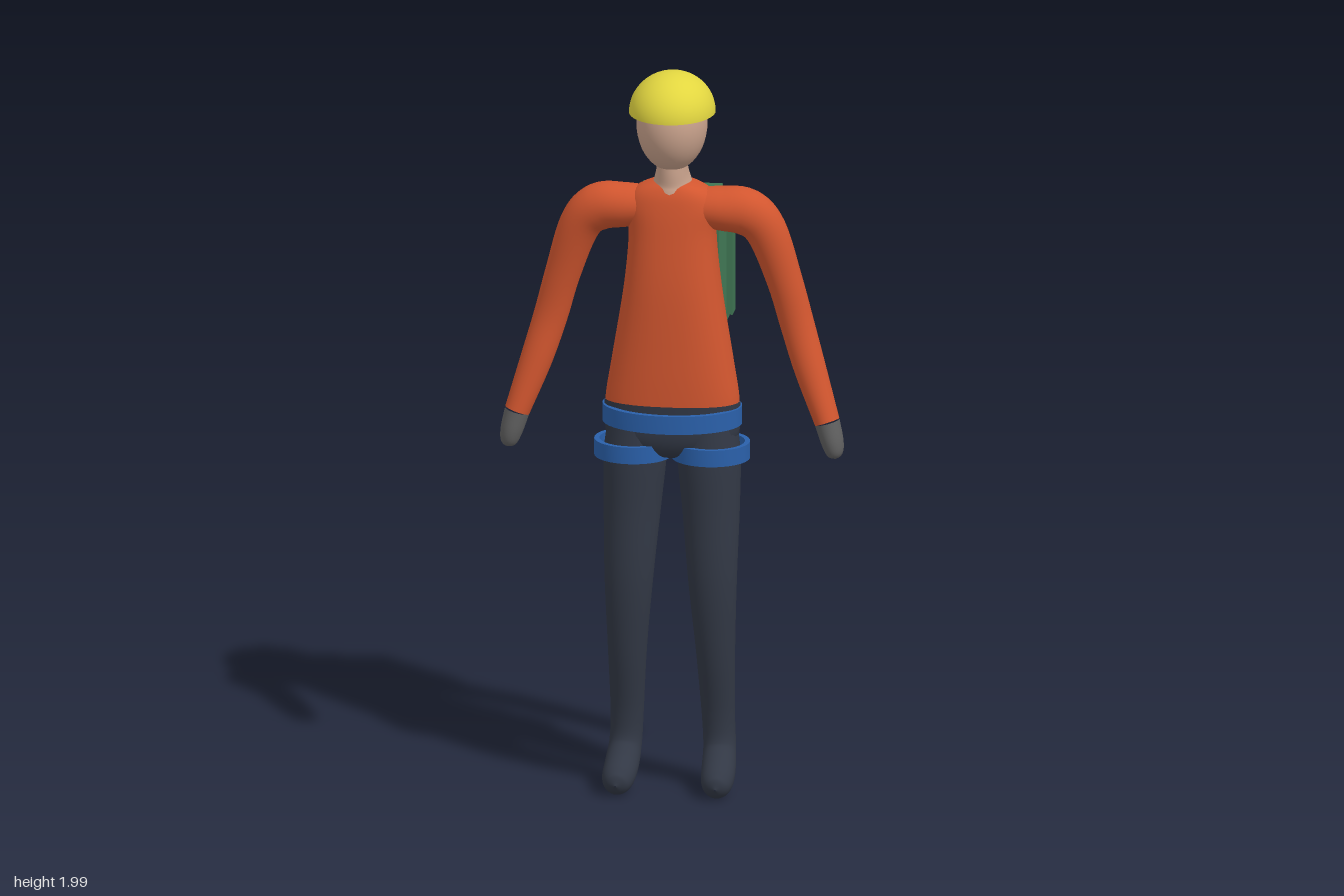
import * as THREE from 'three';
import { toCreasedNormals } from 'three/addons/utils/BufferGeometryUtils.js';

const mat = (name, color, side = THREE.FrontSide) => {
  const m = new THREE.MeshStandardMaterial({ color, side });
  m.name = name;
  return m;
};

// Smooth tube through rows of [x, y, z, radius along side, radius across]
function limb(rows, side, power = 1, steps = 6, around = 28) {
  const path = new THREE.CatmullRomCurve3(rows.map(r => new THREE.Vector3(r[0], r[1], r[2])), false, 'catmullrom');
  const radii = new THREE.CatmullRomCurve3(rows.map(r => new THREE.Vector3(r[3], r[4], 0)), false, 'catmullrom');
  const n = (rows.length - 1) * steps;
  const pos = [], index = [];
  const bulge = v => Math.sign(v) * Math.abs(v) ** power;
  for (let i = 0; i <= n; i++) {
    const c = path.getPoint(i / n), t = path.getTangent(i / n), r = radii.getPoint(i / n);
    const across = new THREE.Vector3().crossVectors(t, side).normalize();
    const along = new THREE.Vector3().crossVectors(across, t);
    for (let j = 0; j < around; j++) {
      const a = j / around * Math.PI * 2;
      const p = c.clone()
        .addScaledVector(along, Math.max(r.x, 0.001) * bulge(Math.cos(a)))
        .addScaledVector(across, Math.max(r.y, 0.001) * bulge(Math.sin(a)));
      pos.push(p.x, p.y, p.z);
      if (i < n) {
        const k = (j + 1) % around, b = i * around, d = b + around;
        index.push(b + j, b + k, d + k, b + j, d + k, d + j);
      }
    }
  }
  const g = new THREE.BufferGeometry();
  g.setAttribute('position', new THREE.Float32BufferAttribute(pos, 3));
  g.setIndex(index);
  g.computeVertexNormals();
  return g;
}

// Flat-sided oval band lying level
function band(rx, rz, height, thick) {
  const shape = new THREE.Shape().absellipse(0, 0, rx, rz, 0, Math.PI * 2);
  shape.holes.push(new THREE.Path().absellipse(0, 0, rx - thick, rz - thick, 0, Math.PI * 2));
  const g = new THREE.ExtrudeGeometry(shape, { depth: height, bevelEnabled: false, curveSegments: 24 });
  g.rotateX(-Math.PI / 2);
  return toCreasedNormals(g, 0.6);
}

export function createModel() {
  const group = new THREE.Group();
  const orange = mat('orange jacket', 0xd2562f);
  const dark = mat('dark trousers', 0x323845);
  const skin = mat('skin', 0xc9a28c);
  const yellow = mat('yellow helmet', 0xe2d640, THREE.DoubleSide);
  const blue = mat('blue webbing', 0x2a60aa);
  const green = mat('green pack', 0x3f7553);
  const grey = mat('grey gloves', 0x606060);
  const X = new THREE.Vector3(1, 0, 0), Z = new THREE.Vector3(0, 0, 1);

  const add = (name, geometry, material, x = 0, y = 0, z = 0, parent = group) => {
    const m = new THREE.Mesh(geometry, material);
    m.name = name;
    m.position.set(x, y, z);
    parent.add(m);
    return m;
  };

  // Head, neck and helmet
  add('head', new THREE.SphereGeometry(1, 36, 24), skin, 0, 1.86, 0.058).scale.set(0.095, 0.13, 0.113);
  add('neck', limb([
    [0, 1.64, 0.045, 0.066, 0.074], [0, 1.69, 0.045, 0.053, 0.064],
    [0, 1.73, 0.052, 0.043, 0.056], [0, 1.78, 0.055, 0.04, 0.05],
  ], X), skin);
  add('helmet', new THREE.SphereGeometry(1, 40, 16, 0, Math.PI * 2, 0, Math.PI / 2), yellow, 0, 1.89, 0.052)
    .scale.set(0.116, 0.11, 0.135);

  // Jacket body and hips
  add('torso', limb([
    [0, 1.05, 0.046, 0.181, 0.095], [0, 1.1, 0.046, 0.18, 0.098], [0, 1.2, 0.045, 0.164, 0.101],
    [0, 1.4, 0.044, 0.132, 0.101], [0, 1.55, 0.045, 0.118, 0.088], [0, 1.63, 0.045, 0.125, 0.078],
    [0, 1.675, 0.045, 0.1, 0.066], [0, 1.7, 0.045, 0.04, 0.045], [0, 1.7, 0.045, 0.002, 0.002],
  ], X, 0.85), orange);
  add('hips', limb([
    [0, 0.93, 0.05, 0.002, 0.002], [0, 0.94, 0.05, 0.1, 0.06], [0, 0.98, 0.05, 0.172, 0.09],
    [0, 1.04, 0.047, 0.183, 0.097], [0, 1.088, 0.046, 0.184, 0.101],
  ], X, 0.85), dark);

  // Arms, gloves, legs and thigh loops, mirrored
  for (const [label, s] of [['left', 1], ['right', -1]]) {
    const flip = rows => rows.map(([x, ...rest]) => [x * s, ...rest]);
    add(label + 'Arm', limb(flip([
      [0.05, 1.625, 0.042, 0.058, 0.05], [0.13, 1.622, 0.042, 0.065, 0.06], [0.2, 1.613, 0.04, 0.062, 0.064],
      [0.252, 1.56, 0.034, 0.055, 0.056], [0.3, 1.42, 0.022, 0.047, 0.048], [0.333, 1.3, 0.018, 0.044, 0.046],
      [0.37, 1.18, 0.032, 0.043, 0.043], [0.419, 1.04, 0.054, 0.04, 0.034],
    ]), Z), orange);
    add(label + 'Glove', limb(flip([
      [0.419, 1.04, 0.054, 0.04, 0.034], [0.434, 0.985, 0.058, 0.038, 0.03],
      [0.441, 0.952, 0.06, 0.027, 0.021], [0.443, 0.94, 0.06, 0.002, 0.002],
    ]), Z), grey);
    add(label + 'Leg', limb(flip([
      [0.095, 1.02, 0.05, 0.08, 0.085], [0.1, 0.93, 0.055, 0.085, 0.087], [0.106, 0.8, 0.062, 0.078, 0.08],
      [0.113, 0.6, 0.083, 0.066, 0.06], [0.119, 0.4, 0.068, 0.053, 0.053], [0.123, 0.22, 0.043, 0.045, 0.044],
      [0.127, 0.125, 0.044, 0.044, 0.046], [0.131, 0.075, 0.092, 0.046, 0.045], [0.134, 0.05, 0.15, 0.043, 0.042],
      [0.135, 0.043, 0.182, 0.029, 0.029], [0.135, 0.04, 0.196, 0.002, 0.002],
    ]), X), dark);
    add(label + 'ThighLoop', band(0.105, 0.1, 0.046, 0.014), blue, 0.105 * s, 0.93, 0.055);
  }
  add('waistBelt', band(0.188, 0.132, 0.05, 0.016), blue, 0, 1.025, 0.052);

  // Backpack: chamfered core with stepped front, sides and top
  const pack = new THREE.Group();
  pack.name = 'backpack';
  pack.position.set(0, 1.44, -0.137);
  group.add(pack);
  const outline = new THREE.Shape([[-1, -1], [1, -1], [1, 1], [-1, 1]].map(([x, y]) => new THREE.Vector2(x * 0.107, y * 0.16)));
  const core = new THREE.ExtrudeGeometry(outline, {
    depth: 0.055, bevelEnabled: true, bevelSegments: 1, bevelSize: 0.018, bevelThickness: 0.018,
  });
  core.translate(0, 0, -0.0275);
  add('packCore', core, green, 0, 0, 0, pack);
  add('packPanels', new THREE.BoxGeometry(0.214, 0.32, 0.125), green, 0, 0, 0, pack);
  add('packSides', new THREE.BoxGeometry(0.282, 0.32, 0.055), green, 0, 0, 0, pack);
  add('packTopAndBase', new THREE.BoxGeometry(0.214, 0.38, 0.055), green, 0, 0, 0, pack);

  return group;
}
